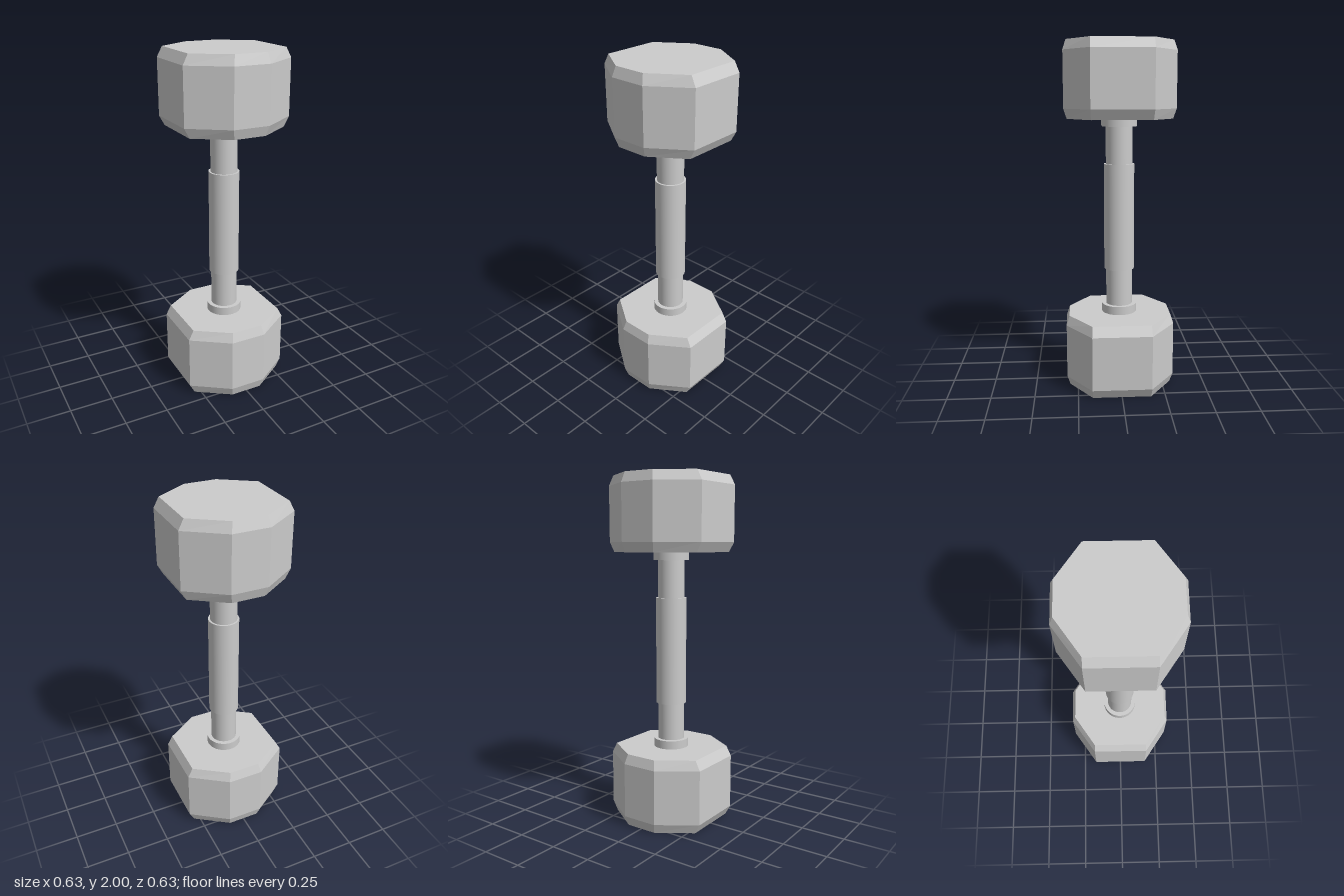
import * as THREE from 'three';

const material = new THREE.MeshStandardMaterial({ color: 0xcccccc });
const flatMaterial = new THREE.MeshStandardMaterial({ color: 0xcccccc, flatShading: true });

// Corners (x, z) of the head, counter-clockwise seen from above
const outer = [[0.315, 0.17], [0.315, -0.17], [0.105, -0.315], [-0.105, -0.315],
  [-0.315, -0.17], [-0.315, 0.17], [-0.105, 0.315], [0.105, 0.315]];
const inner = [[0.285, 0.167], [0.285, -0.167], [0.093, -0.297], [-0.093, -0.297],
  [-0.285, -0.167], [-0.285, 0.167], [-0.093, 0.297], [0.093, 0.297]];

// Eight-sided block with bevelled rims, standing on y = 0
function headGeometry() {
  const sections = [[inner, 0], [outer, 0.056], [outer, 0.372], [inner, 0.428]];
  const rings = sections.map(([ring, y]) => ring.map(([x, z]) => [x, y, z]));
  const positions = [];
  const triangle = (a, b, c) => positions.push(...a, ...b, ...c);
  for (let r = 0; r < rings.length - 1; r++) {
    for (let i = 0; i < 8; i++) {
      const j = (i + 1) % 8;
      triangle(rings[r][i], rings[r][j], rings[r + 1][j]);
      triangle(rings[r][i], rings[r + 1][j], rings[r + 1][i]);
    }
  }
  const [bottom, top] = [rings[0], rings[rings.length - 1]];
  for (let i = 1; i < 7; i++) {
    triangle(top[0], top[i], top[i + 1]);
    triangle(bottom[0], bottom[i + 1], bottom[i]);
  }
  const geometry = new THREE.BufferGeometry();
  geometry.setAttribute('position', new THREE.Float32BufferAttribute(positions, 3));
  geometry.computeVertexNormals();
  return geometry;
}

// Upright round bar between two heights
function bar(name, radius, y0, y1) {
  const mesh = new THREE.Mesh(new THREE.CylinderGeometry(radius, radius, y1 - y0, 48), material);
  mesh.position.y = (y0 + y1) / 2;
  mesh.name = name;
  return mesh;
}

export function createModel() {
  const group = new THREE.Group();
  group.name = 'dumbbell';

  // Weights at both ends
  const geometry = headGeometry();
  for (const [name, y] of [['lowerHead', 0], ['upperHead', 1.572]]) {
    const head = new THREE.Mesh(geometry, flatMaterial);
    head.name = name;
    head.position.y = y;
    group.add(head);
  }

  // Handle: thin shaft, thicker grip and a collar against each head
  group.add(
    bar('shaft', 0.077, 0.42, 1.58),
    bar('grip', 0.088, 0.692, 1.312),
    bar('lowerCollar', 0.102, 0.425, 0.477),
    bar('upperCollar', 0.102, 1.527, 1.575),
  );
  return group;
}
